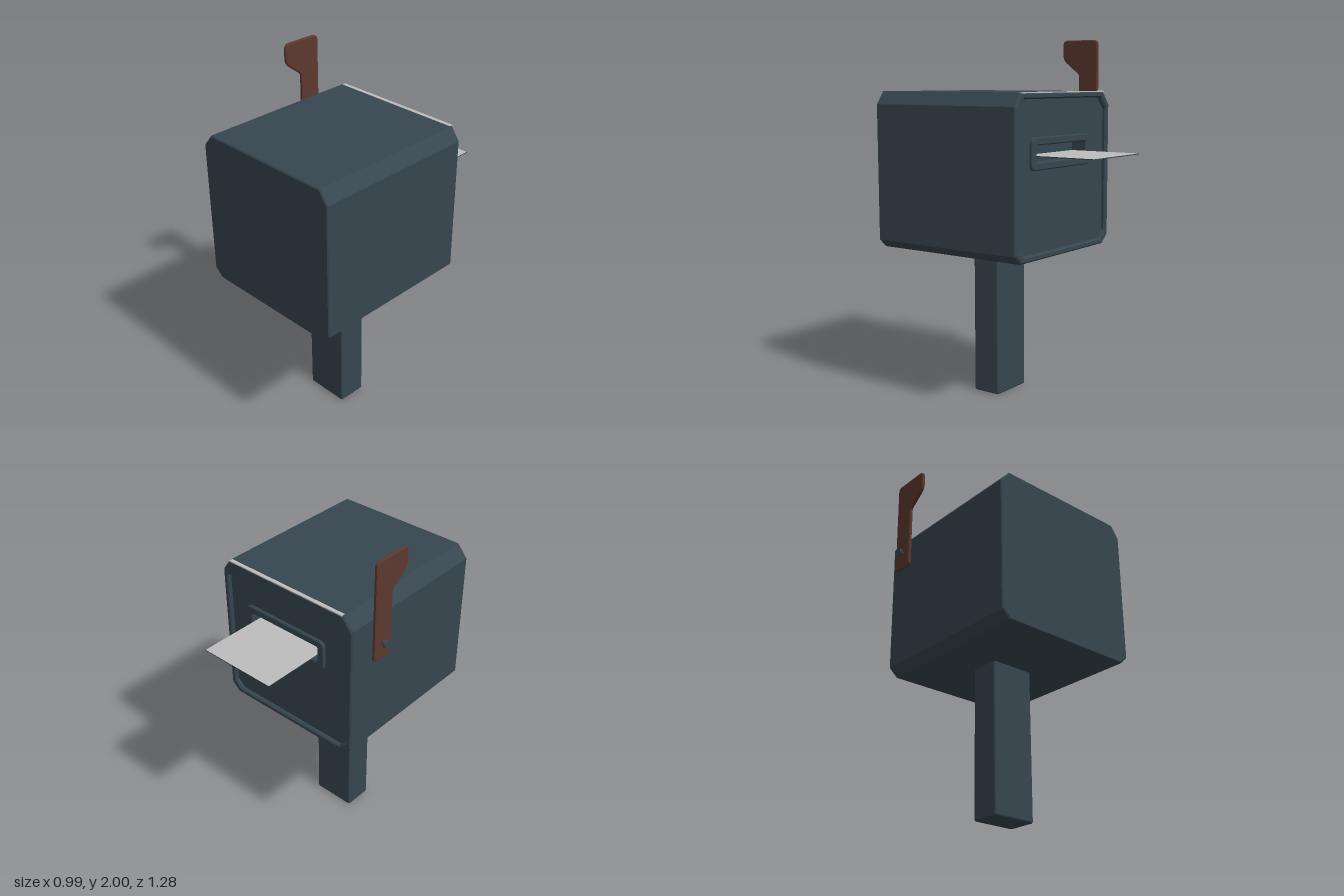
import * as THREE from 'three';
import { RoundedBoxGeometry } from 'three/addons/geometries/RoundedBoxGeometry.js';

const mat = (name, color, side = THREE.FrontSide) => {
  const m = new THREE.MeshStandardMaterial({ color, side });
  m.name = name;
  return m;
};

// Octagonal box profile, counter-clockwise seen from +z, shrunk by an inset
const PROFILE = [[-0.36, 0.84], [0.44, 0.84], [0.49, 0.885], [0.49, 1.64],
  [0.44, 1.71], [-0.35, 1.71], [-0.41, 1.64], [-0.41, 0.885]];
const CX = 0.04, CY = 1.275, HW = 0.45, HH = 0.435;
const inset = (d) => PROFILE.map(([x, y]) =>
  [CX + (x - CX) * (1 - d / HW), CY + (y - CY) * (1 - d / HH)]);

// Flat-sided skin through [inset, z] rings, closed at the first ring
function loft(rings) {
  const loops = rings.map(([d, z]) => inset(d).map(([x, y]) => [x, y, z]));
  const pos = [];
  const tri = (...pts) => pts.forEach((p) => pos.push(...p));
  const n = PROFILE.length;
  for (let i = 0; i < n; i++) {
    const j = (i + 1) % n;
    tri([CX, CY, rings[0][1]], loops[0][i], loops[0][j]);
    for (let k = 0; k < loops.length - 1; k++) {
      const a = loops[k], b = loops[k + 1];
      tri(a[i], b[i], b[j]);
      tri(a[i], b[j], a[j]);
    }
  }
  const g = new THREE.BufferGeometry();
  g.setAttribute('position', new THREE.Float32BufferAttribute(pos, 3));
  g.computeVertexNormals();
  return g;
}

// Trace a polygon with softened corners; points are [x, y, radius]
function softPath(path, pts) {
  const n = pts.length;
  const toward = (p, q, r) => {
    const l = Math.hypot(q[0] - p[0], q[1] - p[1]);
    return [p[0] + (q[0] - p[0]) * r / l, p[1] + (q[1] - p[1]) * r / l];
  };
  pts.forEach((p, i) => {
    const a = toward(p, pts[(i + n - 1) % n], p[2]);
    const b = toward(p, pts[(i + 1) % n], p[2]);
    if (i === 0) path.moveTo(...a); else path.lineTo(...a);
    path.quadraticCurveTo(p[0], p[1], ...b);
  });
  path.closePath();
  return path;
}
const rect = (x0, x1, y0, y1, r) => [[x0, y0, r], [x1, y0, r], [x1, y1, r], [x0, y1, r]];

export function createModel() {
  const model = new THREE.Group();
  model.name = 'mailbox';
  const body = mat('slate paint', 0x37464f);
  const red = mat('flag red brown', 0x5d382f);
  const paper = mat('paper grey', 0xbdbdbd);
  const add = (name, geo, material, x = 0, y = 0, z = 0) => {
    const m = new THREE.Mesh(geo, material);
    m.name = name;
    m.position.set(x, y, z);
    model.add(m);
    return m;
  };

  // Post
  add('post', new RoundedBoxGeometry(0.26, 0.86, 0.17, 2, 0.012), body, 0.03, 0.43, 0.14);

  // Box shell with a raised rim around the recessed back door
  add('boxShell', loft([[0.006, 0.64], [0, 0.634], [0, -0.302], [0.008, -0.311],
    [0.026, -0.311], [0.034, -0.303], [0.034, -0.19]]), body);

  // Back door with the mail slot cut through it
  const door = new THREE.Shape(inset(0.03).map(([x, y]) => new THREE.Vector2(x, y)));
  const slot = rect(-0.18, 0.3, 1.345, 1.445, 0.02);
  door.holes.push(softPath(new THREE.Path(), slot));
  add('backDoor', new THREE.ExtrudeGeometry(door, { depth: 0.08, bevelEnabled: false }),
    body, 0, 0, -0.288);
  add('slotBack', new THREE.BoxGeometry(0.52, 0.14, 0.01), body, 0.06, 1.395, -0.205);

  // Raised frame around the slot
  const frame = softPath(new THREE.Shape(), rect(-0.21, 0.33, 1.315, 1.475, 0.025));
  frame.holes.push(softPath(new THREE.Path(), slot));
  add('slotFrame', new THREE.ExtrudeGeometry(frame, {
    depth: 0.012, bevelThickness: 0.005, bevelSize: 0.006, bevelSegments: 1, curveSegments: 4,
  }), body, 0, 0, -0.3);

  // Pale strip along the top back edge
  add('topEdgeStrip', new THREE.BoxGeometry(0.78, 0.006, 0.022), paper, 0.045, 1.709, -0.302);

  // Letter poking out of the slot, pale on top only
  add('letter', new THREE.BoxGeometry(0.456, 0.005, 0.425),
    [body, body, paper, body, body, body], 0.063, 1.383, -0.432);

  // Signal flag, drawn as [z, y] and turned to lie beside the box
  const flag = softPath(new THREE.Shape(), [[-0.2, 1.435, 0.02], [-0.085, 1.435, 0.02],
    [-0.085, 1.805, 0.015], [0.025, 1.89, 0.03], [0.025, 1.995, 0.025], [-0.2, 1.995, 0.025]]);
  const flagGeo = new THREE.ExtrudeGeometry(flag, {
    depth: 0.012, bevelThickness: 0.004, bevelSize: 0.005, bevelSegments: 1, curveSegments: 5,
  }).rotateY(-Math.PI / 2);
  add('flag', flagGeo, red, -0.453);

  // Pivot: inner boss, tapered neck and knob head
  const disc = (rOut, rIn, len) => new THREE.CylinderGeometry(rOut, rIn, len, 16).rotateZ(Math.PI / 2);
  add('flagBoss', disc(0.035, 0.025, 0.008), red, -0.448, 1.525, -0.142);
  add('knobNeck', disc(0.015, 0.012, 0.02), body, -0.478, 1.525, -0.142);
  add('knobHead', disc(0.019, 0.022, 0.012), body, -0.491, 1.525, -0.142);

  return model;
}
